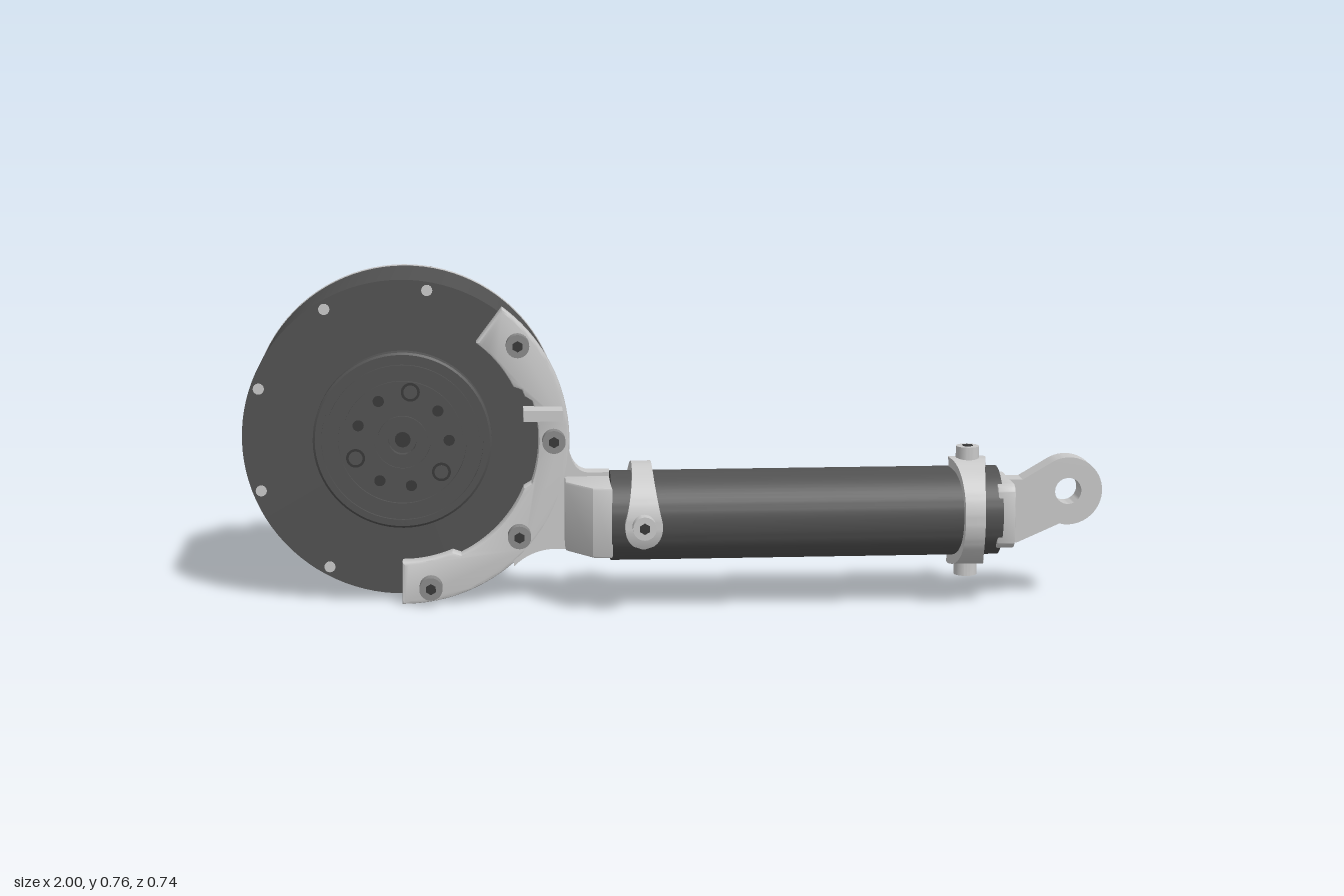
import * as THREE from 'three';
import { toCreasedNormals, mergeGeometries } from 'three/addons/utils/BufferGeometryUtils.js';

const RAD = Math.PI / 180;
const mat = (name, color, side = THREE.FrontSide) => {
  const m = new THREE.MeshStandardMaterial({ color, side });
  m.name = name;
  return m;
};
const V2 = (pts) => pts.map(([x, y]) => new THREE.Vector2(x, y));

export function createModel() {
  const model = new THREE.Group();
  model.name = 'rotaryActuatorWithArm';
  const dark = mat('darkAnodised', 0x515151);
  const black = mat('blackRecess', 0x383838, THREE.DoubleSide);
  const light = mat('lightMetal', 0xc9c9c9, THREE.DoubleSide);
  const steel = mat('boltSteel', 0x8a8a8a);

  const add = (parent, name, geo, material, x = 0, y = 0, z = 0) => {
    const m = new THREE.Mesh(toCreasedNormals(geo, 0.5), material);
    m.name = name;
    m.position.set(x, y, z);
    parent.add(m);
    return m;
  };
  // solid of revolution about z; profile is [radius, z], counter-clockwise
  const turned = (pts, segs = 72) => new THREE.LatheGeometry(V2(pts), segs).rotateX(Math.PI / 2);
  const rodZ = (r, z0, z1, segs = 24) =>
    new THREE.CylinderGeometry(r, r, z1 - z0, segs).rotateX(Math.PI / 2).translate(0, 0, (z0 + z1) / 2);
  // plate of given outline between two depths
  const plate = (shape, z0, z1, bevel = 0) => new THREE.ExtrudeGeometry(shape, {
    depth: z1 - z0 - 2 * bevel, curveSegments: 24, bevelEnabled: bevel > 0,
    bevelThickness: bevel, bevelSize: bevel, bevelOffset: -bevel, bevelSegments: 2,
  }).translate(0, 0, z0 + bevel);
  const polar = (r, deg) => [r * Math.cos(deg * RAD), r * Math.sin(deg * RAD)];

  // ---------- motor ----------
  const motor = new THREE.Group();
  motor.name = 'motor';
  motor.position.set(-0.63, 0.39, 0);
  model.add(motor);

  add(motor, 'drum', rodZ(0.372, -0.147, 0.12, 96), dark);
  add(motor, 'rearFlange', rodZ(0.373, -0.165, -0.147, 96), light);
  add(motor, 'stator', turned([[0.29, -0.165], [0.29, -0.225], [0.08, -0.225], [0.08, -0.17], [0, -0.17]].reverse()), black);

  // stepped front face with grooves
  add(motor, 'frontDisc', turned([
    [0.207, 0.12], [0.207, 0.15], [0.202, 0.154], [0.187, 0.154], [0.187, 0.146], [0.178, 0.146], [0.178, 0.154],
    [0.148, 0.154], [0.148, 0.145], [0.14, 0.145], [0.14, 0.152], [0.065, 0.152], [0.065, 0.147], [0.058, 0.147],
    [0.058, 0.155], [0.032, 0.155], [0.032, 0.135], [0, 0.135]]), dark);
  for (let i = 0; i < 9; i++) {
    const big = i % 3 === 2;
    const [x, y] = polar(big ? 0.116 : 0.108, i * 40);
    add(motor, 'frontDiscHole', rodZ(big ? 0.022 : 0.013, 0.15, 0.153), black, x, y);
    if (big) add(motor, 'frontDiscPin', rodZ(0.016, 0.15, 0.154), dark, x, y);
  }
  add(motor, 'frontBore', rodZ(0.018, 0.13, 0.139), black);

  // slots on the front rim
  for (const a of [80, 120, 160, 200, 240]) {
    const [x, y] = polar(0.352, a);
    add(motor, 'rimSlot', rodZ(0.013, 0.116, 0.122, 16), light, x, y);
  }

  // spoked rear cover
  const spoke = [[0.303, -0.165], [0.328, -0.165], [0.328, -0.243], [0.318, -0.254], [0.155, -0.317], [0.155, -0.297], [0.303, -0.235]];
  const spokeWidth = 23 * RAD;
  const spokeGeo = (mid) => {
    const start = (mid + 90) * RAD - spokeWidth / 2;
    const cap = (phi) => new THREE.ShapeGeometry(new THREE.Shape(V2(spoke))).rotateY(phi - Math.PI / 2).toNonIndexed();
    const skin = new THREE.LatheGeometry(V2([...spoke, spoke[0]]), 8, start, spokeWidth).toNonIndexed();
    return mergeGeometries([skin, cap(start), cap(start + spokeWidth)]).rotateX(Math.PI / 2);
  };
  for (let i = 0; i < 9; i++) {
    add(motor, 'coverSpoke', spokeGeo(20 + i * 40), light);
    const [x, y] = polar(0.344, i * 40);
    add(motor, 'flangeBolt', rodZ(0.026, -0.194, -0.16), steel, x, y);
    add(motor, 'flangeBoltSocket', rodZ(0.013, -0.196, -0.19, 6), black, x, y);
  }
  add(motor, 'coverHub', turned([[0.075, -0.285], [0.075, -0.317], [0.155, -0.317], [0.175, -0.309],
    [0.175, -0.289], [0.09, -0.285], [0.075, -0.285]]), light);

  // threaded studs on the hub
  const thread = [[0, -0.367]];
  for (let i = 0; i <= 7; i++) thread.push([0.012, -0.367 + i * 0.007], [0.016, -0.3635 + i * 0.007]);
  for (let i = 0; i < 6; i++) {
    const [x, y] = polar(0.115, 11 + i * 60);
    add(motor, 'threadedStud', turned(thread, 16), steel, x, y);
  }

  // ---------- bracket ----------
  const bracket = new THREE.Group();
  bracket.name = 'bracket';
  model.add(bracket);
  const arc = [];
  for (let a = -91; a <= 53; a += 3) arc.push(polar(0.387, a));
  for (let a = 53; a >= -91; a -= 3) {
    const lug = a > 24 || a < -66;
    const narrow = Math.abs(a) < 20 ? 0.315 : 0.302;
    arc.push(polar(lug ? 0.287 : narrow, a));
  }
  add(bracket, 'curvedMount', plate(new THREE.Shape(V2(arc)), 0.12, 0.167, 0.006), light, -0.63, 0.39);
  for (const a of [40, 0, -40, -80]) {
    const [x, y] = polar(0.35, a);
    add(bracket, 'mountBolt', rodZ(0.027, 0.16, 0.197), steel, x - 0.63, y + 0.39);
    add(bracket, 'mountBoltSocket', rodZ(0.013, 0.192, 0.199, 6), black, x - 0.63, y + 0.39);
  }
  add(bracket, 'mountTab', new THREE.BoxGeometry(0.09, 0.025, 0.07), light, -0.305, 0.457, 0.19);

  const neck = new THREE.Shape();
  neck.moveTo(-0.3, 0.36);
  neck.lineTo(-0.247, 0.38);
  neck.quadraticCurveTo(-0.24, 0.315, -0.2, 0.312);
  neck.lineTo(-0.15, 0.312);
  neck.lineTo(-0.15, 0.13);
  neck.lineTo(-0.29, 0.13);
  neck.quadraticCurveTo(-0.34, 0.125, -0.375, 0.09);
  neck.lineTo(-0.38, 0.17);
  add(bracket, 'neckPlate', plate(neck, 0.121, 0.166), light);
  // wedge stepping out from the mount to the tube (outline in x and -z)
  const wedge = new THREE.Shape(V2([[-0.256, -0.122], [-0.256, -0.222], [-0.195, -0.3], [-0.15, -0.305], [-0.15, -0.122]]));
  add(bracket, 'neckWedge', plate(wedge, 0, 0.165, 0.006).rotateX(-Math.PI / 2), light, 0, 0.138, 0);

  // ---------- tube ----------
  const axisY = 0.22, axisZ = 0.213;
  const arm = new THREE.Group();
  arm.name = 'arm';
  arm.position.set(0, axisY, axisZ);
  model.add(arm);
  const rodX = (r, x0, x1) => rodZ(r, x0, x1, 64).rotateY(Math.PI / 2);
  add(arm, 'tube', rodX(0.104, -0.152, 0.752), dark);

  // half-round saddle clamp: wide round ends at the bosses, narrow in the middle
  const saddleGeo = () => {
    const n = 60, pos = [], idx = [];
    for (let i = 0; i <= n; i++) {
      const deg = -117 + (234 * i) / n, over = Math.max(0, Math.abs(deg) - 92) / 25;
      const spread = Math.min(1, Math.abs(deg) / 88) ** 2.5;
      const w = (0.023 + 0.02 * spread) * Math.sqrt(Math.max(0.002, 1 - over * over));
      const c = Math.cos(deg * RAD), s = Math.sin(deg * RAD);
      for (const [x, r] of [[-w, 0.1], [w, 0.1], [w, 0.126], [-w, 0.126]]) pos.push(x, r * s, r * c);
    }
    for (let i = 0; i < n; i++) for (let k = 0; k < 4; k++) {
      const a = i * 4 + k, b = i * 4 + ((k + 1) % 4);
      idx.push(a, b, b + 4, a, b + 4, a + 4);
    }
    const g = new THREE.BufferGeometry();
    g.setAttribute('position', new THREE.Float32BufferAttribute(pos, 3));
    g.setIndex(idx);
    g.computeVertexNormals();
    return g;
  };
  const clamp = (name, x, turn) => {
    const g = new THREE.Group();
    g.name = name;
    g.position.x = x;
    g.rotation.x = turn;
    arm.add(g);
    add(g, 'saddle', saddleGeo(), light);
    for (const s of [1, -1]) {
      add(g, 'clampBoss', new THREE.CylinderGeometry(0.027, 0.027, 0.06, 24), light, 0, s * 0.123, 0);
      add(g, 'clampBossSocket', new THREE.CylinderGeometry(0.013, 0.013, 0.006, 6), black, 0, s * 0.152, 0);
    }
  };
  clamp('innerClamp', -0.08, -Math.PI / 2);
  clamp('outerClamp', 0.683, 0);

  // ---------- end fitting ----------
  const square = new THREE.Shape();
  const hw = 0.093, hh = 0.076, cr = 0.025;
  square.absarc(hw - cr, hh - cr, cr, 0, Math.PI / 2);
  square.absarc(-hw + cr, hh - cr, cr, Math.PI / 2, Math.PI);
  square.absarc(-hw + cr, -hh + cr, cr, Math.PI, 1.5 * Math.PI);
  square.absarc(hw - cr, -hh + cr, cr, 1.5 * Math.PI, 2 * Math.PI);
  add(arm, 'endBlock', plate(square, 0.74, 0.782, 0.004).rotateY(Math.PI / 2), light);

  const eye = new THREE.Shape();
  eye.moveTo(0.77, -0.076);
  eye.lineTo(0.8, -0.074);
  eye.lineTo(0.9, -0.03);
  eye.absarc(0.918, 0.047, 0.08, -100 * RAD, 122 * RAD);
  eye.lineTo(0.81, 0.076);
  eye.lineTo(0.77, 0.076);
  const hole = new THREE.Path();
  hole.absarc(0.918, 0.047, 0.031, 0, 2 * Math.PI, true);
  eye.holes.push(hole);
  add(arm, 'eyeLug', plate(eye, -0.027, 0.027), light);

  return model;
}
